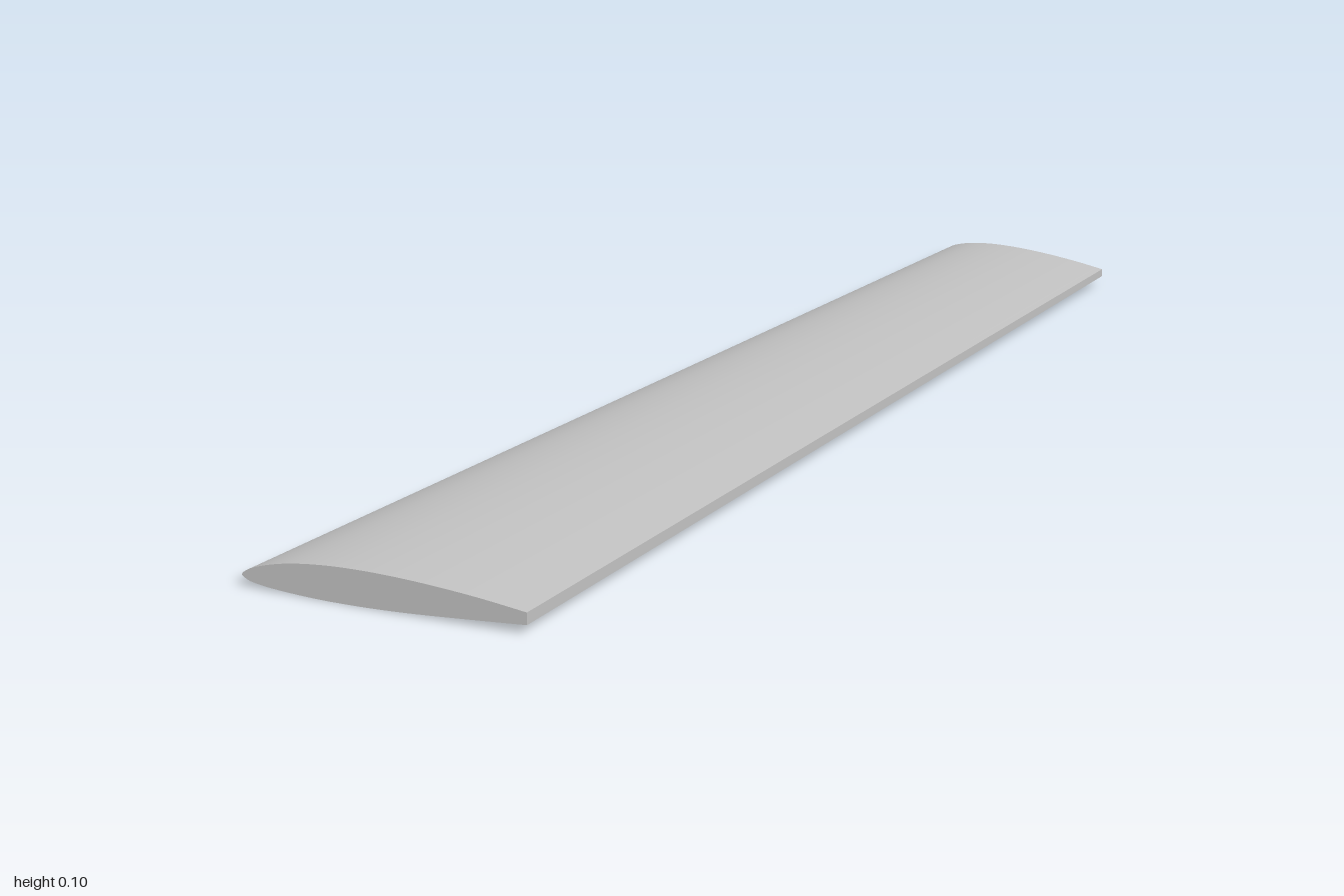
import * as THREE from 'three';

// Aerofoil section: [fraction of chord, height], upper trailing edge -> nose -> lower trailing edge
const PROFILE = [
  [1, 0.063], [0.85, 0.078], [0.7, 0.089], [0.55, 0.096], [0.42, 0.098], [0.28, 0.094],
  [0.15, 0.081], [0.06, 0.062], [0.02, 0.048], [0, 0.033], [0.02, 0.021], [0.06, 0.013],
  [0.15, 0.0055], [0.3, 0], [0.45, 0.001], [0.6, 0.006], [0.8, 0.017], [1, 0.029],
];
const ROOT = { x: -0.71, chord: 0.705, y: 0, scale: 1, z: 1 };
const TIP = { x: 0.33, chord: 0.38, y: 0.017, scale: 0.54, z: -1 };

const curve = new THREE.CatmullRomCurve3(PROFILE.map(([u, h]) => new THREE.Vector3(u, h, 0)));
const outline = curve.getPoints(68);

// Place the section at one end of the wing
const section = (end) => outline.map((p) => new THREE.Vector3(
  end.x + Math.max(p.x, 0) * end.chord, end.y + Math.max(p.y, 0) * end.scale, end.z));

// Ruled surface between two matching rows of points
function strip(a, b) {
  const positions = [], index = [];
  a.forEach((p, i) => {
    positions.push(...p.toArray(), ...b[i].toArray());
    if (i < a.length - 1) {
      const k = i * 2;
      index.push(k, k + 1, k + 2, k + 2, k + 1, k + 3);
    }
  });
  const g = new THREE.BufferGeometry();
  g.setAttribute('position', new THREE.Float32BufferAttribute(positions, 3));
  g.setIndex(index);
  g.computeVertexNormals();
  return g;
}

// Flat end cap facing +z or -z
function cap(points, facing) {
  const shape = new THREE.Shape(points.map((p) => new THREE.Vector2(p.x * facing, p.y)));
  const g = new THREE.ShapeGeometry(shape);
  if (facing < 0) g.rotateY(Math.PI);
  return g.translate(0, 0, points[0].z);
}

export function createModel() {
  const group = new THREE.Group();
  group.name = 'wing';
  const grey = new THREE.MeshStandardMaterial({ color: 0xc0c0c0 });
  grey.name = 'light grey';

  const add = (name, geometry) => {
    const mesh = new THREE.Mesh(geometry, grey);
    mesh.name = name;
    group.add(mesh);
  };

  const root = section(ROOT), tip = section(TIP);
  const ends = (row) => [row[row.length - 1], row[0]];

  add('wingSkin', strip(root, tip));
  add('trailingEdge', strip(ends(root), ends(tip)));
  add('rootCap', cap(root, 1));
  add('tipCap', cap(tip, -1));
  return group;
}
